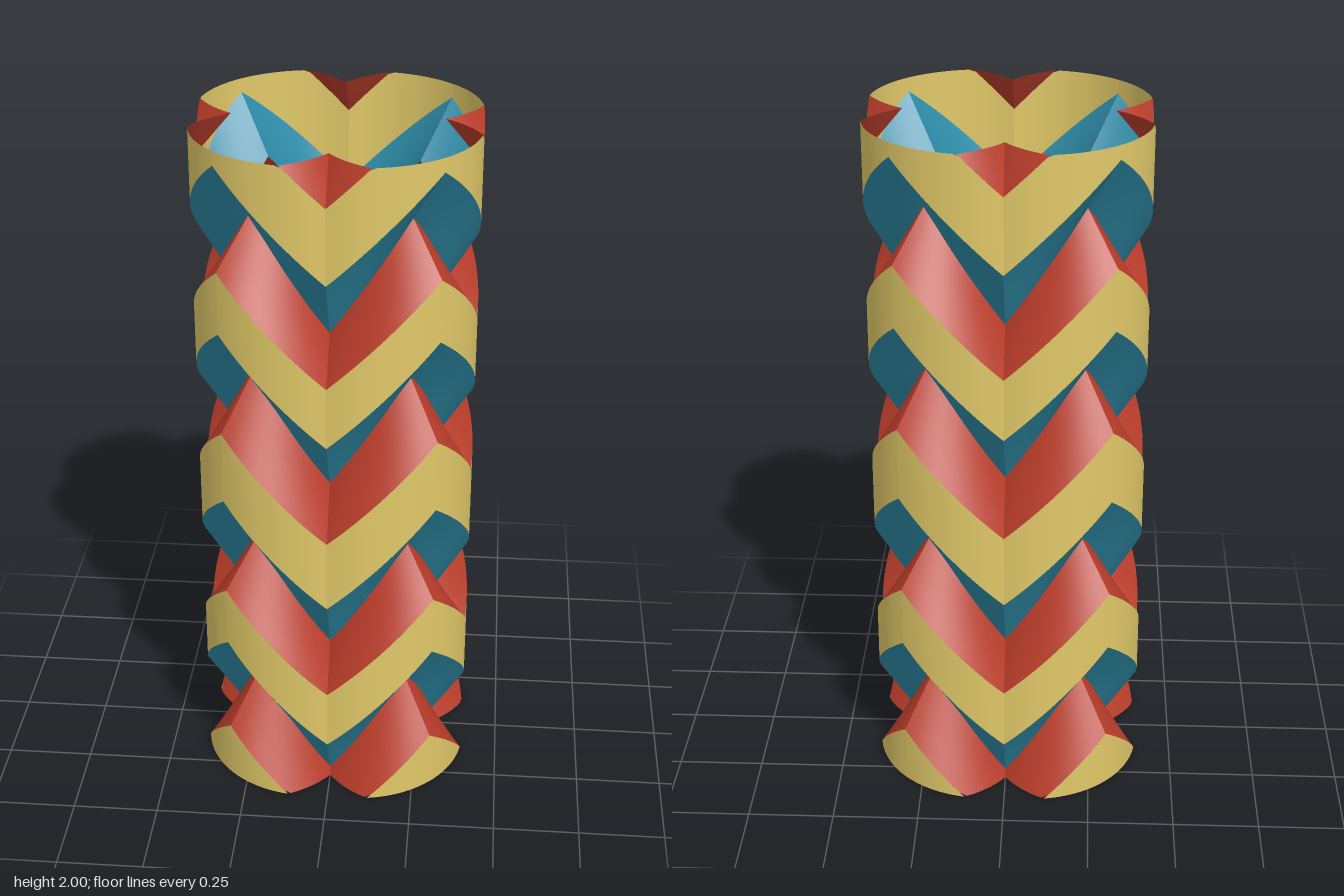
import * as THREE from 'three';
import { mergeGeometries } from 'three/addons/utils/BufferGeometryUtils.js';

const HEIGHT = 2, COLS = 16, ROWS = 4;

const material = (name, color) => {
  const m = new THREE.MeshStandardMaterial({ color, side: THREE.DoubleSide });
  m.name = name;
  return m;
};

// Plan curves of one eighth of the tube: arcs centred at (c, c), from the face axis to the diagonal
const OUTER = { c: 0.07, r: 0.325 };
const INNER = { c: 0.06, r: 0.222 };

// A fold line climbs from height y0 at the face axis to y0 + rise at the diagonal
const ridge = (y0) => ({ plan: OUTER, y0, rise: 0.29 });
const valley = (y0) => ({ plan: INNER, y0, rise: 0.315 });

function pointOn(line, u) {
  const { c, r } = line.plan;
  const x = u * (c + r * Math.SQRT1_2);
  const z = c + Math.sqrt(r * r - (x - c) ** 2);
  return new THREE.Vector3(x, line.y0 + u * line.rise, z);
}

// Ruled panel between two fold lines, cut off flat at the bottom and the top of the tube
function panel(low, high, mirrored) {
  const u0 = Math.max(0, -high.y0 / high.rise);
  const u1 = Math.min(1, (HEIGHT - low.y0) / low.rise);
  if (u1 - u0 < 1e-4) return null;
  const pos = [], index = [];
  for (let i = 0; i <= COLS; i++) {
    const u = u0 + ((u1 - u0) * i) / COLS;
    const a = pointOn(low, u), b = pointOn(high, u);
    const s0 = Math.min(1, Math.max(0, -a.y / (b.y - a.y)));
    const s1 = Math.max(0, Math.min(1, (HEIGHT - a.y) / (b.y - a.y)));
    for (let j = 0; j <= ROWS; j++) {
      const p = a.clone().lerp(b, s0 + ((s1 - s0) * j) / ROWS);
      pos.push(mirrored ? -p.x : p.x, p.y, p.z);
      if (i < COLS && j < ROWS) {
        const k = i * (ROWS + 1) + j, n = k + ROWS + 1;
        if (mirrored) index.push(k, n + 1, n, k, k + 1, n + 1);
        else index.push(k, n, n + 1, k, n + 1, k + 1);
      }
    }
  }
  const g = new THREE.BufferGeometry();
  g.setAttribute('position', new THREE.Float32BufferAttribute(pos, 3));
  g.setIndex(index);
  g.computeVertexNormals();
  return g;
}

// Full zigzag ring: eight mirrored panels
function band(name, low, high, mat) {
  const parts = [];
  for (let q = 0; q < 4; q++) {
    for (const mirrored of [false, true]) {
      const g = panel(low, high, mirrored);
      if (g) parts.push(g.rotateY((q * Math.PI) / 2));
    }
  }
  if (!parts.length) return null;
  const mesh = new THREE.Mesh(mergeGeometries(parts), mat);
  mesh.name = name;
  return mesh;
}

export function createModel() {
  const yellow = material('yellow', 0xe0c868);
  const red = material('red', 0xb83c2a);
  const teal = material('teal', 0x2e8ca8);
  const group = new THREE.Group();
  group.name = 'foldedTube';

  // Fold heights at the face axis; the pattern of two folds repeats every unit
  const folds = [
    { wallBottom: 0.19, wallTop: 0.37, groove: 0.485, next: 0.67 },
    { wallBottom: 0.67, wallTop: 0.885, groove: 1.02, next: 1.19 },
  ];
  for (let k = -1; k <= 2; k++) {
    for (const f of folds) {
      const bottom = ridge(f.wallBottom + k), top = ridge(f.wallTop + k);
      const groove = valley(f.groove + k), next = ridge(f.next + k);
      for (const mesh of [
        band('outerWallBand', bottom, top, yellow),
        band('upperLedgeBand', top, groove, red),
        band('lowerSlopeBand', groove, next, teal),
      ]) if (mesh) group.add(mesh);
    }
  }
  return group;
}
